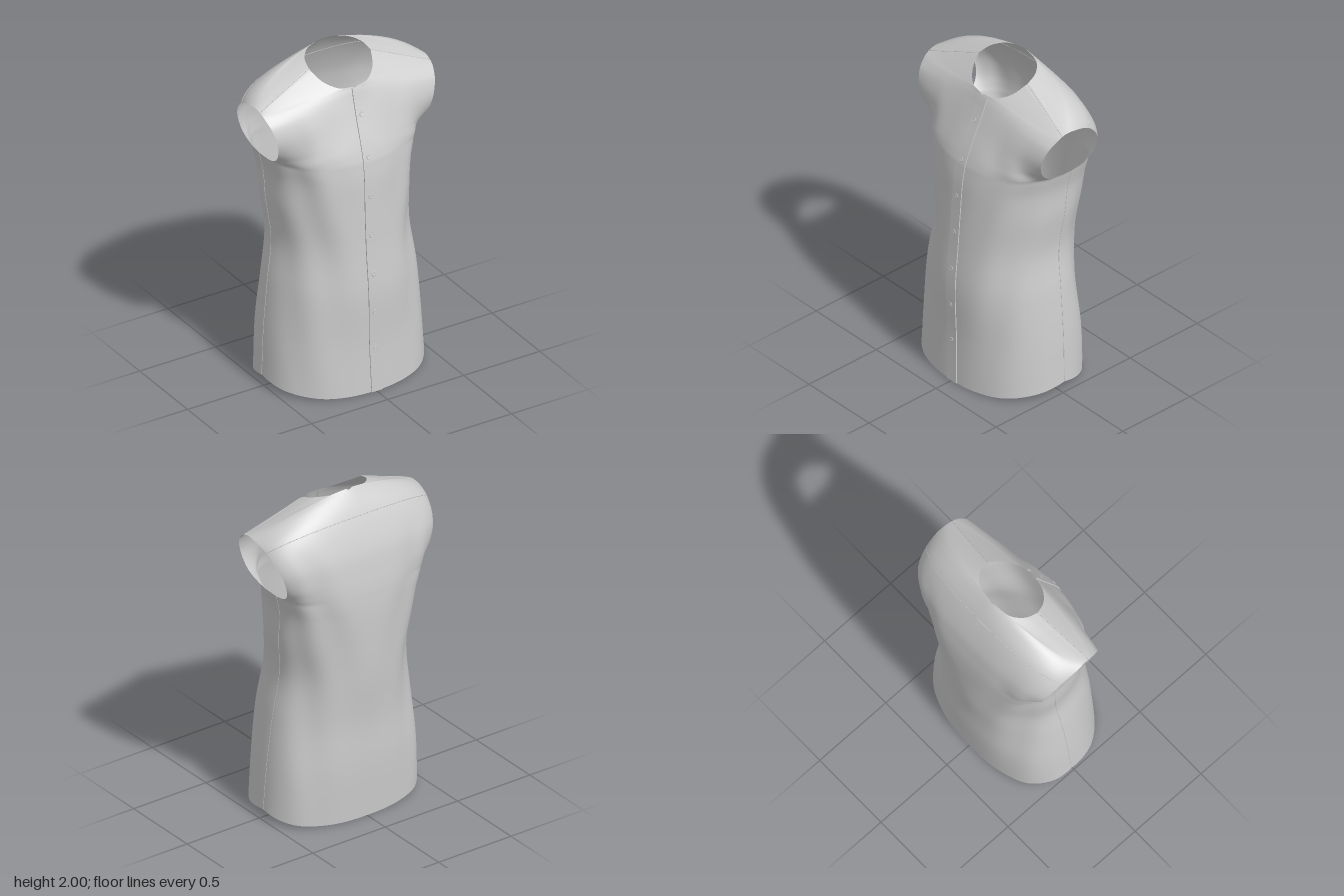
import * as THREE from 'three';
import { mergeGeometries, mergeVertices } from 'three/addons/utils/BufferGeometryUtils.js';

const COLS = 32;
const cloth = new THREE.MeshStandardMaterial({ color: 0xcccccc, side: THREE.DoubleSide });
const { lerp, smoothstep, clamp } = THREE.MathUtils;

// Rows run from an outer edge (side seam, then armhole) to an inner edge (centre, then neckline).
const side = [[.495, .06, -.02], [.477, .35, -.03], [.445, .65, -.04], [.411, .9, -.055],
  [.432, 1.15, -.08], [.438, 1.32, -.095], [.462, 1.44, -.1]];
const frontCentre = [[0, 0, .382], [0, .3, .373], [0, .62, .376], [0, .9, .354],
  [0, 1.15, .337], [0, 1.33, .325], [0, 1.44, .309]];
const backCentre = [[0, 0, -.33], [0, .33, -.345], [0, .6, -.347], [0, .9, -.37],
  [0, 1.15, -.378], [0, 1.33, -.378], [0, 1.44, -.372]];
const frontArmhole = [[.462, 1.44, -.1], [.466, 1.455, .04], [.487, 1.52, .13], [.508, 1.62, .168],
  [.535, 1.72, .145], [.55, 1.765, .105], [.555, 1.785, .08], [.557, 1.793, .065], [.558, 1.797, .055]];
const frontNeck = [[0, 1.44, .309], [0, 1.5, .29], [0, 1.57, .264], [0, 1.67, .223], [0, 1.77, .185],
  [0, 1.84, .16], [.09, 1.852, .14], [.165, 1.89, .08], [.203, 1.945, 0]];
const backArmhole = [[.462, 1.44, -.1], [.467, 1.46, -.18], [.487, 1.52, -.235], [.515, 1.62, -.245],
  [.54, 1.7, -.205], [.555, 1.765, -.14], [.562, 1.79, -.09], [.565, 1.803, -.04],
  [.563, 1.808, 0], [.56, 1.805, .03], [.558, 1.797, .055]];
const backNeck = [[0, 1.44, -.372], [0, 1.5, -.365], [0, 1.56, -.355], [0, 1.66, -.335], [0, 1.76, -.3],
  [0, 1.87, -.25], [0, 1.94, -.21], [0, 2, -.165], [.12, 1.99, -.14], [.185, 1.97, -.075], [.203, 1.945, 0]];

const curve = (pts) => new THREE.CatmullRomCurve3(pts.map((p) => new THREE.Vector3(...p)));

// Returns a function (t, q, sx): t climbs the panel, q goes from outer to inner edge, sx mirrors.
// Each row is a superellipse arc: power squares it, arc(t) trims its outer end, flat(t) straightens it.
function makePanel(outer, inner, power, arc = () => 0, flat = () => 0) {
  const a = curve(outer), c = curve(inner);
  return (t, q, sx) => {
    const A = a.getPoint(t), C = c.getPoint(t);
    const p = power(t), s0 = arc(t), th0 = Math.asin(Math.pow(s0, 1 / p));
    const th = lerp(th0, Math.PI / 2, q);
    const cos = Math.pow(Math.max(0, Math.cos(th)) / Math.cos(th0), p);
    const sin = (Math.pow(Math.sin(th), p) - s0) / (1 - s0);
    const u = lerp(cos, 1 - q, flat(t)), s = lerp(sin, q, flat(t));
    const cx = Math.max(0, C.x);
    const v = new THREE.Vector3(cx + (A.x - cx) * u, lerp(A.y, C.y, s), lerp(A.z, C.z, s));
    // soft diagonal drape folds, fading to nothing at every edge, and a slight lean to the right
    const low = clamp(1 - (v.y - 1.44) / 0.35, 0, 1), fade = low * Math.min(1, 0.3 + v.y * 0.6);
    const back = C.z < 0 ? 1 : 0, w = q * Math.PI / 2;
    const fold = 0.008 * fade * Math.sin(2 * w) ** 2 * Math.sin(8 * w + 5 * v.y + back * 2 + sx * 0.6);
    v.x = (v.x + fold * Math.cos(w)) * sx - 0.006 * low;
    v.z += fold * Math.sin(w) * (back ? -1 : 1);
    return v;
  };
}

function panelGeometry(panel, rows, sx, flip) {
  const pos = [], idx = [], n = COLS + 1;
  for (let i = 0; i <= rows; i++)
    for (let j = 0; j <= COLS; j++) pos.push(...panel(i / rows, j / COLS, sx).toArray());
  for (let i = 0; i < rows; i++)
    for (let j = 0; j < COLS; j++) {
      const a = i * n + j, b = a + n, c = a + 1, d = b + 1;
      if (flip) idx.push(a, c, b, b, c, d);
      else idx.push(a, b, c, c, b, d);
    }
  const g = new THREE.BufferGeometry();
  g.setAttribute('position', new THREE.Float32BufferAttribute(pos, 3));
  g.setIndex(idx);
  return g;
}

export function createModel() {
  const model = new THREE.Group();
  const add = (name, geometry) => {
    const mesh = new THREE.Mesh(geometry, cloth);
    mesh.name = name;
    model.add(mesh);
    return mesh;
  };

  // The body is squarer at hem and chest, rounder at the waist
  const waist = (t) => Math.sin(Math.PI * t) ** 2;
  const frontBody = makePanel(side, frontCentre, (t) => lerp(0.87, 0.82, t) + 0.08 * waist(t));
  const frontChest = makePanel(frontArmhole, frontNeck, () => 0.82,
    (t) => 0.75 * smoothstep(t, 0, 0.35), (t) => smoothstep(t, 0.1, 0.8));
  const backBody = makePanel(side, backCentre, (t) => lerp(0.82, 0.74, t) + 0.24 * waist(t));
  const backShoulder = makePanel(backArmhole, backNeck, () => 0.74,
    (t) => 0.45 * smoothstep(t, 0, 0.3), (t) => smoothstep(t, 0.4, 1));

  // Shirt shell: four panels, mirrored and welded
  const parts = [];
  for (const sx of [1, -1]) {
    parts.push(panelGeometry(frontBody, 48, sx, sx < 0), panelGeometry(frontChest, 32, sx, sx < 0));
    parts.push(panelGeometry(backBody, 48, sx, sx > 0), panelGeometry(backShoulder, 40, sx, sx > 0));
  }
  const shell = mergeVertices(mergeGeometries(parts), 1e-4);
  shell.computeVertexNormals();
  add('shirtBody', shell);

  // Raised seams at sides, shoulders and yoke
  const seam = (name, fn) => {
    const pts = Array.from({ length: 33 }, (_, i) => fn(i / 32));
    add(name, new THREE.TubeGeometry(new THREE.CatmullRomCurve3(pts), 64, 0.002, 5));
  };
  for (const [label, sx] of [['left', 1], ['right', -1]]) {
    seam(label + 'SideSeam', (t) => frontBody(t, 0, sx));
    seam(label + 'ShoulderSeam', (t) => frontChest(1, t, sx));
    seam(label + 'YokeSeam', (t) => backShoulder(0.5, t, sx));
  }

  // Button placket: a shallow strip swept up the centre front
  const centre = [];
  for (let i = 0; i <= 40; i++) centre.push(frontBody(i / 40, 1, 1));
  for (let i = 1; i <= 20; i++) centre.push(frontChest(i / 20 * 5 / 8, 1, 1));
  const drift = (y) => 0.004 - 0.018 * Math.sin(Math.PI * y / 1.9) + 0.012 * (y / 1.84) ** 4;
  const profile = [[-.036, -.006], [-.036, .006], [.036, .006], [.036, -.006]];
  const pos = [], idx = [];
  centre.forEach((p, i) => {
    const a = centre[Math.max(0, i - 1)], b = centre[Math.min(centre.length - 1, i + 1)];
    const n = new THREE.Vector3(0, a.z - b.z, b.y - a.y).normalize();
    for (let k = 0; k < 3; k++)
      for (const [x, d] of [profile[k], profile[k + 1]])
        pos.push(x + drift(p.y), p.y + n.y * d, p.z + n.z * d);
    if (i === 0) return;
    for (let k = 0; k < 3; k++) {
      const e = i * 6 + k * 2, f = e - 6;
      idx.push(f, f + 1, e, e, f + 1, e + 1);
    }
  });
  const strip = new THREE.BufferGeometry();
  strip.setAttribute('position', new THREE.Float32BufferAttribute(pos, 3));
  strip.setIndex(idx);
  strip.computeVertexNormals();
  add('buttonPlacket', strip);

  // Buttons: dished discs lying on the placket
  const disc = new THREE.LatheGeometry([[0, .003], [.008, .003], [.011, .005], [.014, .004], [.015, 0], [0, 0]]
    .map(([x, y]) => new THREE.Vector2(x, y)).reverse(), 20);
  for (const y of [0.275, 0.51, 0.75, 0.99, 1.23, 1.465, 1.695]) {
    const i = centre.findIndex((p) => p.y >= y), a = centre[i - 1], b = centre[i];
    const p = a.clone().lerp(b, (y - a.y) / (b.y - a.y));
    const n = new THREE.Vector3(0, a.z - b.z, b.y - a.y).normalize();
    const button = add('button', disc);
    button.position.copy(p).addScaledVector(n, 0.005);
    button.position.x = drift(y);
    button.quaternion.setFromUnitVectors(new THREE.Vector3(0, 1, 0), n);
  }
  return model;
}
